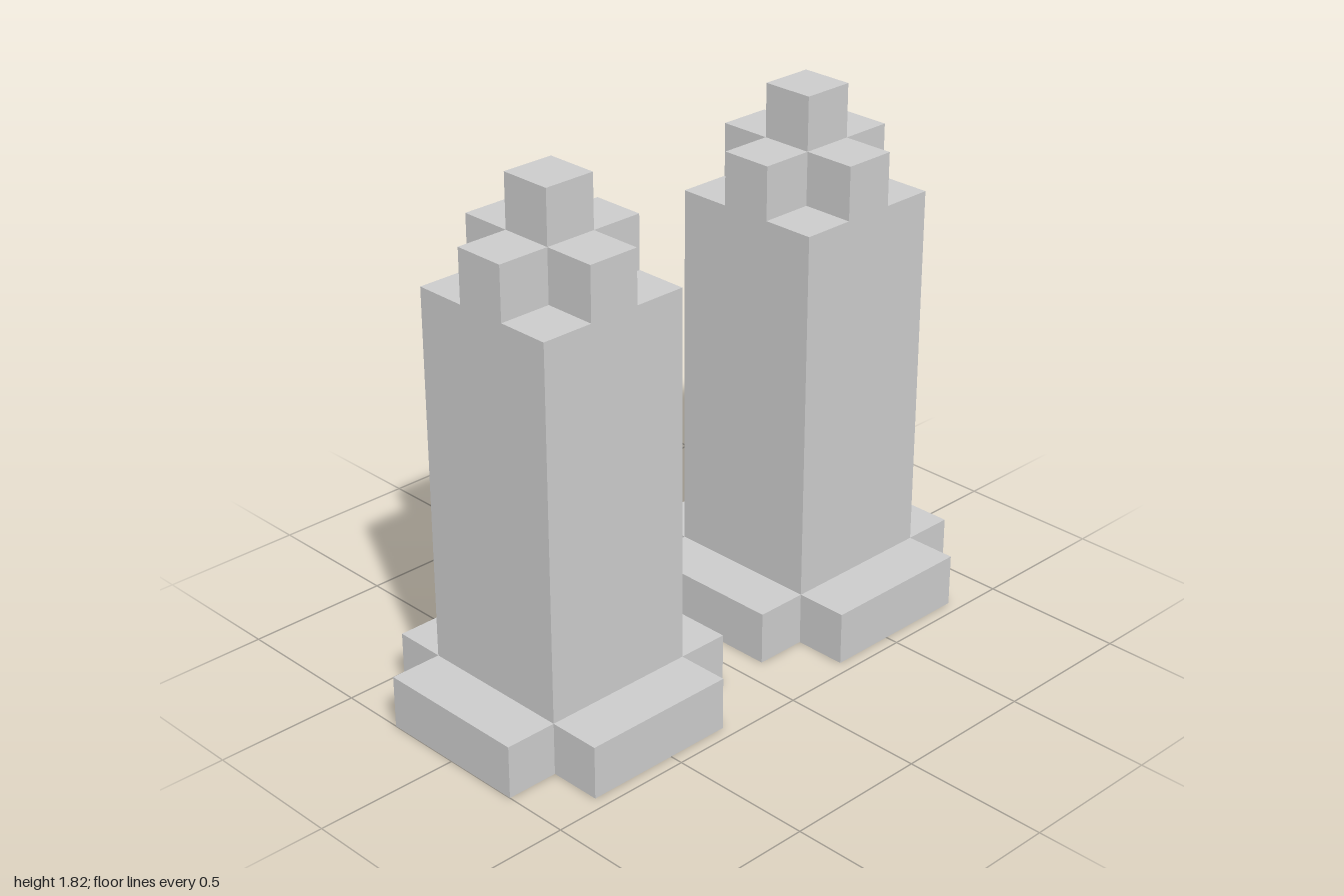
import * as THREE from 'three';

const U = 2 / 11; // block size: the pair is 11 blocks wide
const material = new THREE.MeshStandardMaterial({ color: 0xcccccc, flatShading: true });

// Plus-shaped slab one block high: a square core with an arm one block deep on each side
function crossSlab(core) {
  const a = (core / 2) * U, b = a + U;
  const outline = [
    [a, -b], [a, -a], [b, -a], [b, a], [a, a], [a, b],
    [-a, b], [-a, a], [-b, a], [-b, -a], [-a, -a], [-a, -b],
  ].map(([x, y]) => new THREE.Vector2(x, y));
  const geometry = new THREE.ExtrudeGeometry(new THREE.Shape(outline), { depth: U, bevelEnabled: false });
  return geometry.rotateX(-Math.PI / 2); // stands on y = 0
}

// Square block standing on y = 0, sized in blocks
function block(width, height) {
  return new THREE.BoxGeometry(width * U, height * U, width * U).translate(0, (height * U) / 2, 0);
}

function createTower(name) {
  const tower = new THREE.Group();
  tower.name = name;
  const add = (part, geometry, level) => {
    const mesh = new THREE.Mesh(geometry, material);
    mesh.name = part;
    mesh.position.y = level * U;
    tower.add(mesh);
  };
  add('base', crossSlab(3), 0);
  add('shaft', block(3, 7), 1);
  add('crown', crossSlab(1), 8);
  add('cap', block(1, 1), 9);
  return tower;
}

export function createModel() {
  const model = new THREE.Group();
  model.name = 'twinTowers';
  for (const [name, side] of [['leftTower', 1], ['rightTower', -1]]) {
    const tower = createTower(name);
    tower.position.x = side * 3 * U;
    model.add(tower);
  }
  return model;
}
